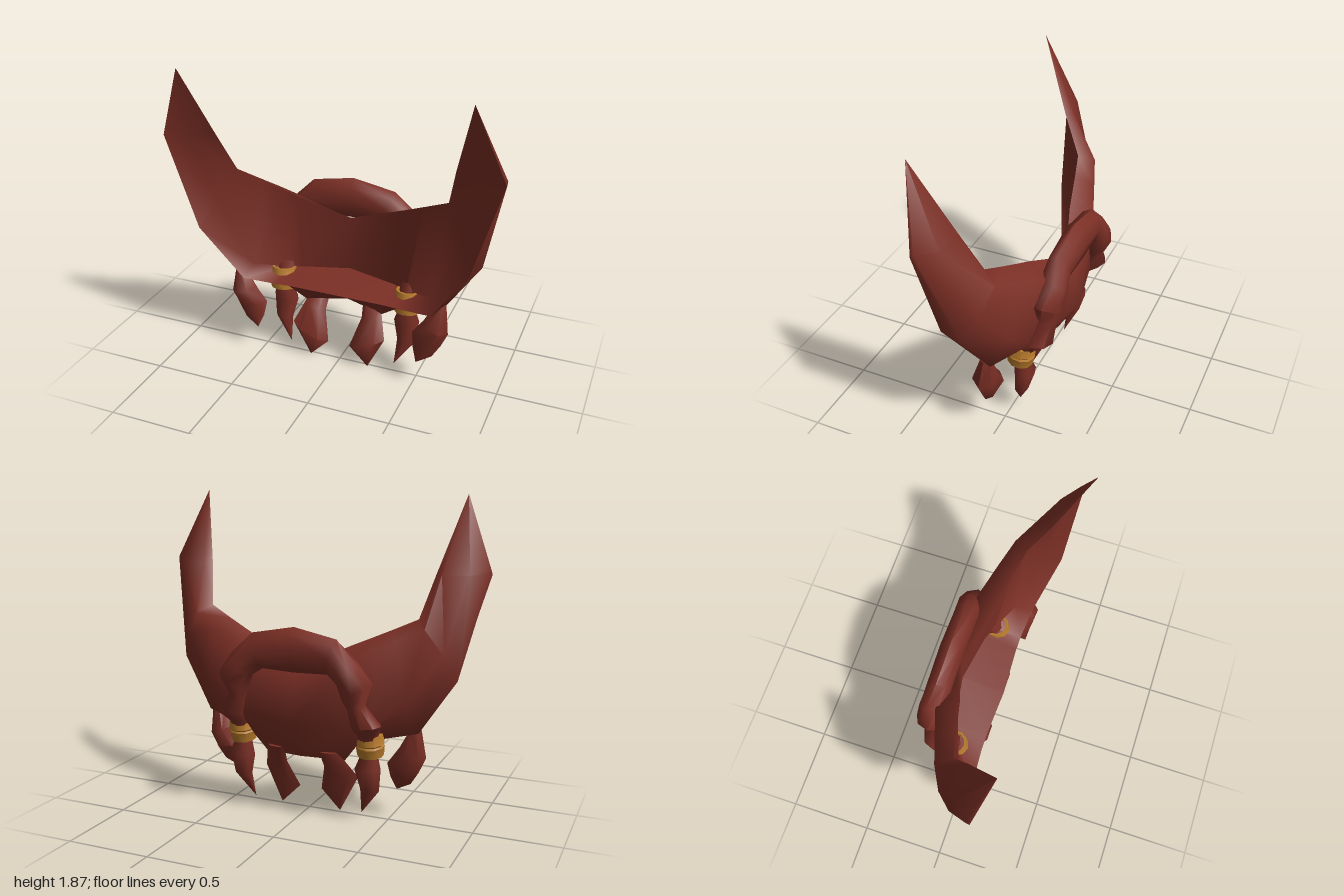
import * as THREE from 'three';
import { toCreasedNormals } from 'three/addons/utils/BufferGeometryUtils.js';

const V = (a) => new THREE.Vector3(...a);
const mirrorX = ([x, y, z]) => [-x, y, z];

// Skin a list of equal-length rings of points, close both ends, facing outward
function loft(rings, crease) {
  const tris = [];
  const add = (a, b, c) => {
    const area = b.clone().sub(a).cross(c.clone().sub(a)).length();
    if (area > 1e-7) tris.push([a, b, c]);
  };
  const n = rings[0].length;
  for (let i = 0; i < rings.length - 1; i++) {
    for (let j = 0; j < n; j++) {
      const k = (j + 1) % n, p = rings[i], q = rings[i + 1];
      add(p[j], q[j], q[k]);
      add(p[j], q[k], p[k]);
    }
  }
  [rings[0], rings[rings.length - 1]].forEach((r, end) => {
    const c = r.reduce((s, p) => s.add(p), new THREE.Vector3()).divideScalar(n);
    for (let j = 0; j < n; j++) {
      const k = (j + 1) % n;
      if (end) add(c, r[k], r[j]); else add(c, r[j], r[k]);
    }
  });
  // Signed volume decides the winding
  const volume = tris.reduce((s, [a, b, c]) => s + a.dot(b.clone().cross(c)), 0);
  const pos = [];
  for (const [a, b, c] of tris) {
    for (const p of volume < 0 ? [a, c, b] : [a, b, c]) pos.push(p.x, p.y, p.z);
  }
  const g = new THREE.BufferGeometry();
  g.setAttribute('position', new THREE.Float32BufferAttribute(pos, 3));
  return toCreasedNormals(g, crease);
}

// Oval ring between an outer and an inner edge point, with half thickness t
function oval([outer, inner, t], sides) {
  const o = V(outer), i = V(inner);
  const c = o.clone().add(i).multiplyScalar(0.5);
  const u = o.sub(i).multiplyScalar(0.5);
  const w = new THREE.Vector3(0, 0, 1);
  if (u.lengthSq() > 0) w.addScaledVector(u, -w.dot(u) / u.lengthSq()).normalize();
  return Array.from({ length: sides }, (_, k) => {
    const a = (k / sides) * Math.PI * 2;
    return c.clone().addScaledVector(u, Math.cos(a)).addScaledVector(w, Math.sin(a) * t);
  });
}
const mirrorSection = ([o, i, t]) => [mirrorX(o), mirrorX(i), t];

// Half of the beard: inner top, outer top, bulge, lower edge, lip, inner wall foot
const BODY = [
  [[0, 0.9, -0.17], [0, 0.87, -0.22], [0, 0.58, -0.265], [0, 0.36, -0.13], [0, 0.51, 0.1], [0, 0.555, -0.17]],
  [[0.3, 1.035, -0.07], [0.37, 0.99, -0.195], [0.34, 0.6, -0.2], [0.25, 0.345, -0.06], [0.3, 0.5, 0.085], [0.3, 0.53, -0.125]],
  [[0.4, 1.078, -0.045], [0.45, 1.03, -0.165], [0.45, 0.6, -0.17], [0.35, 0.475, -0.09], [0.39, 0.495, 0.085], [0.39, 0.525, -0.09]],
  [[0.5, 1.122, -0.02], [0.55, 1.075, -0.13], [0.62, 0.73, -0.1], [0.67, 0.54, 0], [0.6, 0.5, 0.1], [0.57, 0.56, 0]],
  [[0.65, 1.19, 0.02], [0.71, 1.15, -0.07], [0.81, 1, -0.02], [0.87, 0.85, 0.055], [0.83, 0.85, 0.2], [0.75, 1, 0.1]],
  [[0.71, 1.43, 0.135], [0.75, 1.43, 0.1], [0.9, 1.43, 0.13], [1, 1.45, 0.215], [1, 1.43, 0.235], [0.86, 1.43, 0.19]],
  Array(6).fill([0.83, 1.865, 0.32]),
];

// Half of the braid that arches over the front: outer edge, inner edge, thickness
const BRAID = [
  [[0, 1.14, -0.22], [0, 0.88, -0.225], 0.073],
  [[0.26, 1.09, -0.225], [0.2, 0.885, -0.215], 0.073],
  [[0.38, 0.97, -0.25], [0.27, 0.84, -0.2], 0.085],
  [[0.47, 0.86, -0.22], [0.29, 0.75, -0.22], 0.095],
  [[0.42, 0.73, -0.2], [0.32, 0.7, -0.2], 0.07],
  [[0.51, 0.61, -0.18], [0.33, 0.6, -0.18], 0.09],
  [[0.47, 0.53, -0.11], [0.34, 0.53, -0.11], 0.06],
  [[0.45, 0.42, -0.07], [0.36, 0.42, -0.07], 0.05],
  [[0.48, 0.33, -0.09], [0.32, 0.31, -0.09], 0.06],
  [[0.465, 0.19, -0.07], [0.35, 0.19, -0.07], 0.04],
  [[0.345, 0.03, -0.03], [0.345, 0.03, -0.03], 0],
];

const TUFTS = {
  chinTuft: [
    [[0.22, 0.4, -0.11], [0.11, 0.4, -0.12], 0.03],
    [[0.25, 0.34, -0.06], [0.12, 0.29, -0.06], 0.04],
    [[0.3, 0.22, 0.03], [0.07, 0.12, 0.02], 0.05],
    [[0.19, 0, 0.02], [0.19, 0, 0.02], 0],
  ],
  cheekTuft: [
    [[0.675, 0.56, 0.04], [0.6, 0.53, 0.04], 0.035],
    [[0.7, 0.38, 0.065], [0.545, 0.43, 0.05], 0.075],
    [[0.66, 0.29, 0.06], [0.475, 0.33, 0.04], 0.065],
    [[0.61, 0.21, 0.07], [0.49, 0.24, 0.06], 0.035],
    [[0.52, 0.16, 0.09], [0.52, 0.16, 0.09], 0],
  ],
};

export function createModel() {
  const hair = new THREE.MeshStandardMaterial({ color: 0x7b2f25 });
  hair.name = 'russet hair';
  const gold = new THREE.MeshStandardMaterial({ color: 0xb97c2c });
  gold.name = 'gold';
  const group = new THREE.Group();
  const add = (name, geometry, material) => {
    const mesh = new THREE.Mesh(geometry, material);
    mesh.name = name;
    group.add(mesh);
    return mesh;
  };

  // Beard with upswept side points
  const left = BODY.map((r) => r.map(V));
  const right = BODY.slice(1).reverse().map((r) => r.map((p) => V(mirrorX(p))));
  add('beardBody', loft([...right, ...left], 1.35), hair);

  // Arched braid ending in two tails
  const braid = [...BRAID.slice(1).reverse().map(mirrorSection), ...BRAID];
  add('archedBraid', loft(braid.map((s) => oval(s, 8)), 1.2), hair);

  // Hanging tufts and braid rings, one set per side
  const ringProfile = [[0.06, -0.068], [0.077, -0.068], [0.083, -0.01], [0.076, 0], [0.083, 0.01], [0.077, 0.068], [0.06, 0.068], [0.06, -0.068]]
    .map(([r, y]) => new THREE.Vector2(r, y));
  for (const side of [1, -1]) {
    const label = side > 0 ? 'left' : 'right';
    for (const [name, sections] of Object.entries(TUFTS)) {
      const s = side > 0 ? sections : sections.map(mirrorSection);
      add(`${label} ${name}`, loft(s.map((q) => oval(q, 6)), 1.1), hair);
    }
    const ring = add(`${label} braidRing`, toCreasedNormals(new THREE.LatheGeometry(ringProfile, 10), 0.65), gold);
    ring.position.set(side * 0.408, 0.47, -0.072);
    ring.rotation.x = -0.14;
  }
  return group;
}
